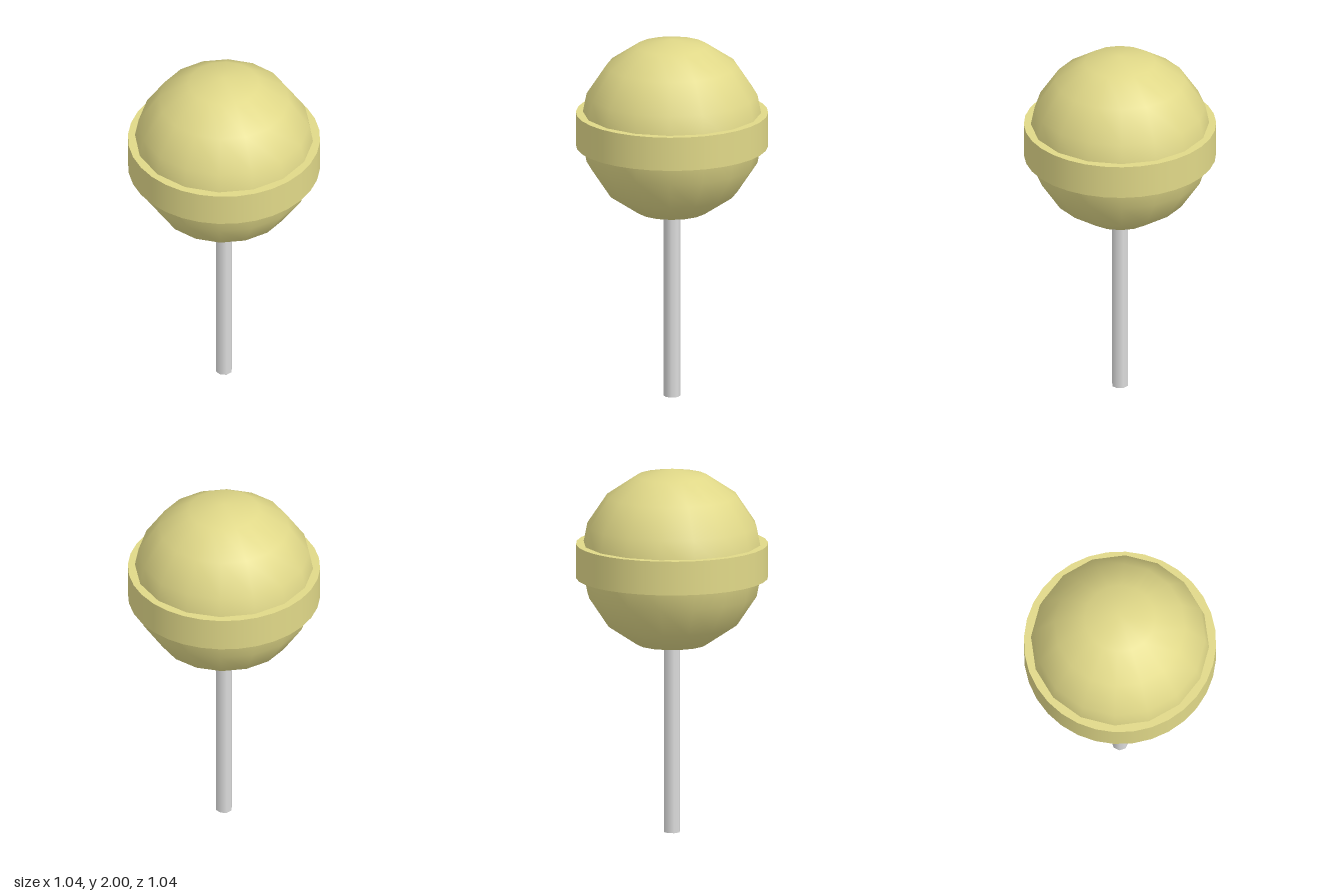
import * as THREE from 'three';

export function createModel() {
  const candy = new THREE.MeshStandardMaterial({ color: 0xe0d888 });
  candy.name = 'candy yellow';
  const paper = new THREE.MeshStandardMaterial({ color: 0xdcdcdc });
  paper.name = 'stick grey';

  const model = new THREE.Group();
  model.name = 'lollipop';
  const add = (name, geometry, material, y) => {
    const mesh = new THREE.Mesh(geometry, material);
    mesh.name = name;
    mesh.position.y = y;
    model.add(mesh);
  };

  // Round candy head, with a raised band around its middle
  add('candyBall', new THREE.SphereGeometry(0.5, 16, 8), candy, 1.5);
  add('candyBand', new THREE.CylinderGeometry(0.52, 0.52, 0.186, 32), candy, 1.497);

  // Thin stick, its top just inside the ball
  add('stick', new THREE.CylinderGeometry(0.045, 0.045, 1.01, 8), paper, 0.505);

  return model;
}
